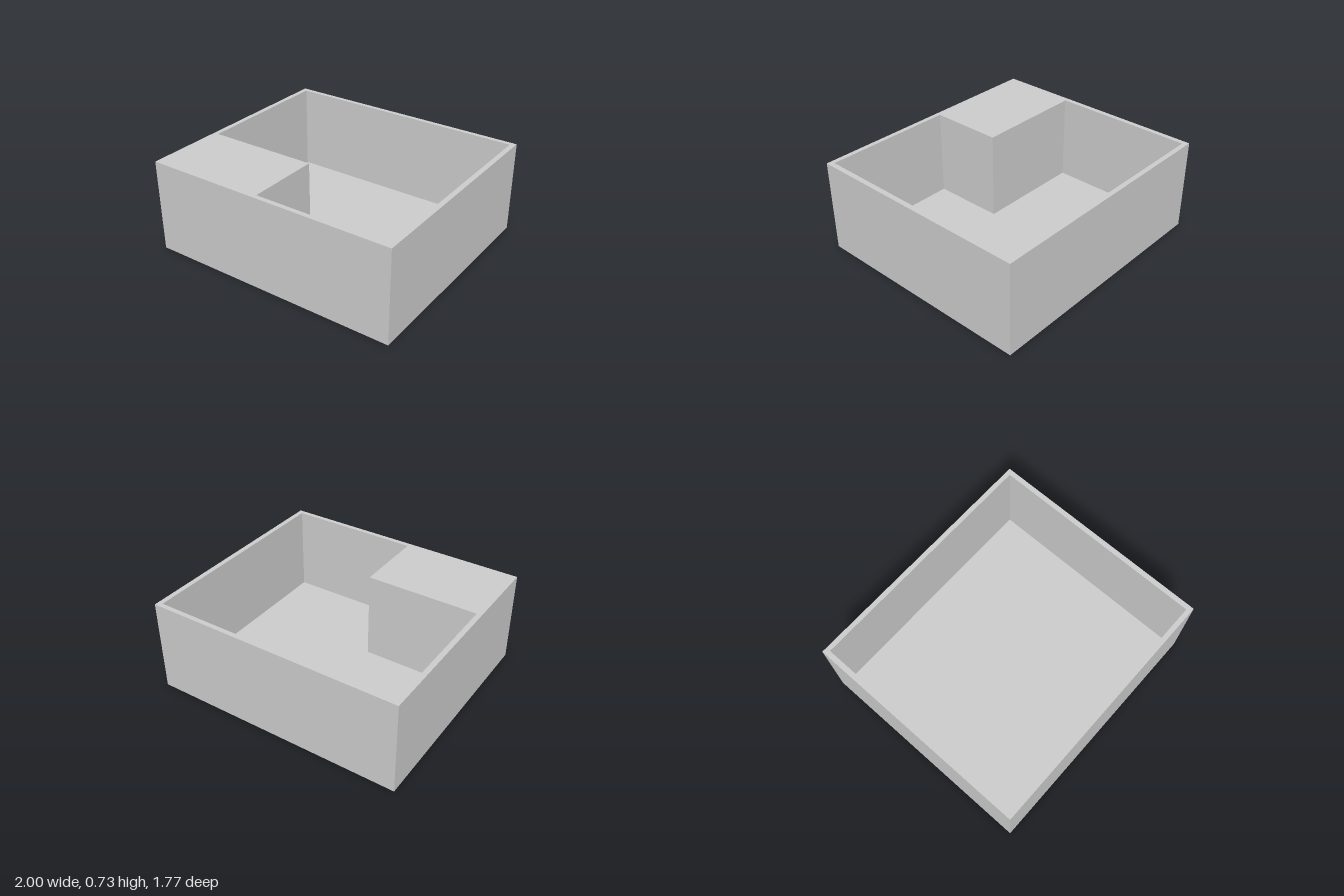
import * as THREE from 'three';

const W = 2, D = 1.77, H = 0.73;   // overall size
const FLOOR = 0.035;               // floor thickness

// Closed loop of plan points given as [x, z]; shape y is -z so it can be laid flat
const loop = (pts) => pts.map(([x, z]) => new THREE.Vector2(x, -z));

export function createModel() {
  const group = new THREE.Group();
  group.name = 'openTray';
  const material = new THREE.MeshStandardMaterial({ color: 0xcccccc, flatShading: true });

  // Floor slab
  const floor = new THREE.Mesh(new THREE.BoxGeometry(W, FLOOR, D), material);
  floor.name = 'floor';
  floor.position.y = FLOOR / 2;
  group.add(floor);

  // Thin walls with a solid block in the front corner, around an L-shaped pocket
  const x = W / 2, z = D / 2, ix = 0.96, iz = 0.848;
  const outline = new THREE.Shape(loop([[-x, z], [x, z], [x, -z], [-x, -z]]));
  outline.holes.push(new THREE.Path(loop([
    [-ix, -iz], [ix, -iz], [ix, iz], [-0.08, iz], [-0.08, 0.27], [-ix, 0.27],
  ])));
  const wallGeometry = new THREE.ExtrudeGeometry(outline, { depth: H - FLOOR, bevelEnabled: false });
  wallGeometry.rotateX(-Math.PI / 2);
  const walls = new THREE.Mesh(wallGeometry, material);
  walls.name = 'wallsAndCornerBlock';
  walls.position.y = FLOOR;
  group.add(walls);

  return group;
}
